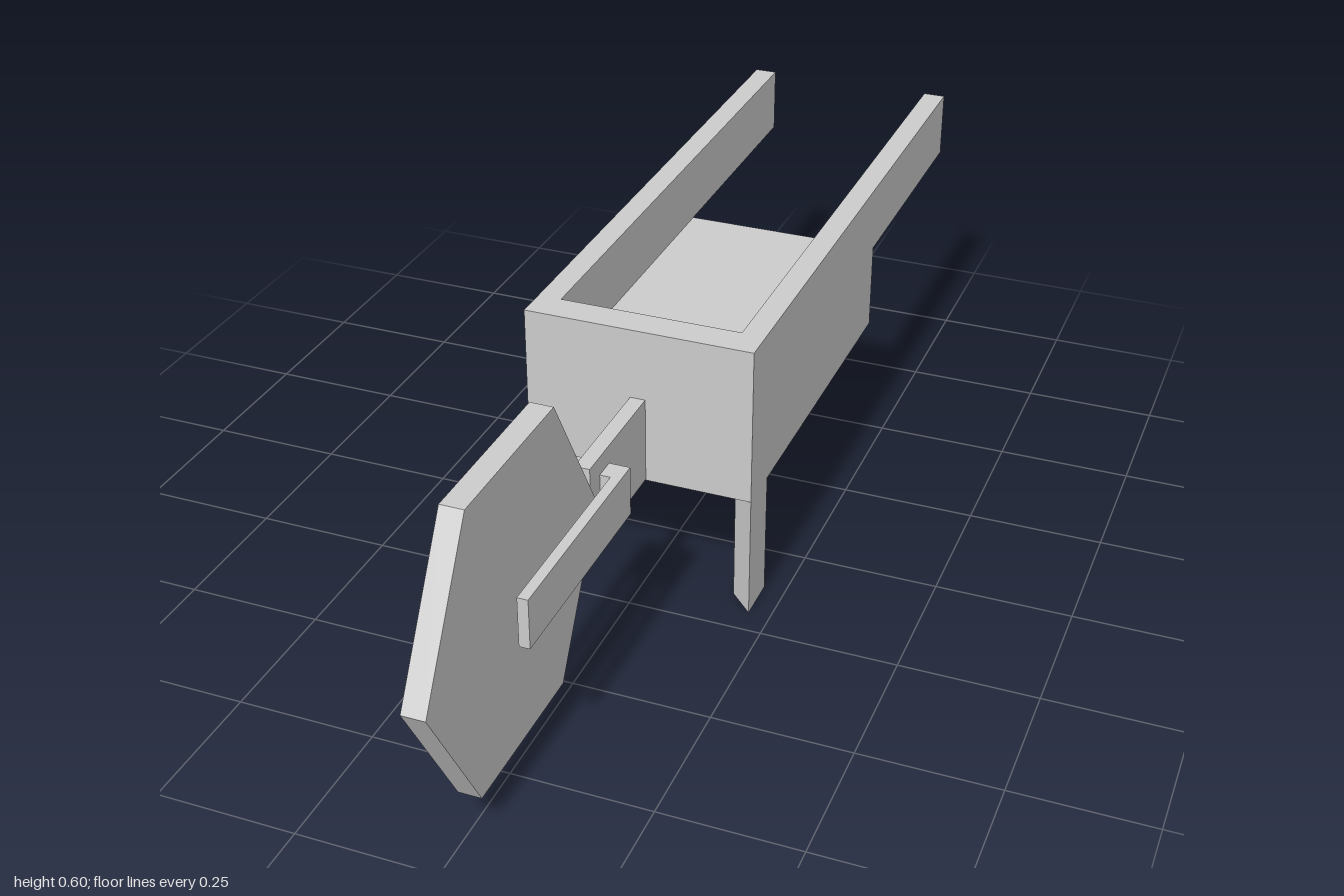
import * as THREE from 'three';

const material = new THREE.MeshStandardMaterial({ color: 0xcccccc, flatShading: true });

function addMesh(parent, name, geometry) {
  const mesh = new THREE.Mesh(geometry, material);
  mesh.name = name;
  parent.add(mesh);
  return mesh;
}

// Box given by its extents on each axis
function box([x0, x1], [y0, y1], [z0, z1]) {
  return new THREE.BoxGeometry(x1 - x0, y1 - y0, z1 - z0)
    .translate((x0 + x1) / 2, (y0 + y1) / 2, (z0 + z1) / 2);
}

// Plan outline of [x, z] points raised from y0 to y1
function prism(plan, y0, y1) {
  const shape = new THREE.Shape(plan.map(([x, z]) => new THREE.Vector2(x, -z)));
  return new THREE.ExtrudeGeometry(shape, { depth: y1 - y0, bevelEnabled: false })
    .rotateX(-Math.PI / 2)
    .translate(0, y0, 0);
}

// U-shaped plan: closed at zClosed, open at zOpen
function uPlan(outer, inner, zClosed, zInner, zOpen) {
  return [
    [-outer, zOpen], [-outer, zClosed], [outer, zClosed], [outer, zOpen],
    [inner, zOpen], [inner, zInner], [-inner, zInner], [-inner, zOpen],
  ];
}

export function createModel() {
  const barrow = new THREE.Group();
  barrow.name = 'wheelbarrow';

  // Solid tray base, with a rim whose sides run back into the handles
  addMesh(barrow, 'trayBase', box([-0.21, 0.21], [0.235, 0.402], [-0.503, 0.2]));
  addMesh(barrow, 'rimAndHandles', prism(uPlan(0.21, 0.167, 0.2, 0.14, -1), 0.402, 0.53));

  // Legs: slanted plan, mirrored left and right
  for (const side of [1, -1]) {
    const plan = [[0.21, 0.2], [0.21, 0.115], [0.165, 0.07], [0.165, 0.155]];
    addMesh(barrow, side > 0 ? 'leftLeg' : 'rightLeg',
      prism(plan.map(([x, z]) => [x * side, z]), 0, 0.235));
  }

  // Neck and fork holding the wheel
  addMesh(barrow, 'neck', box([-0.014, 0.014], [0.237, 0.398], [0.2, 0.44]));
  addMesh(barrow, 'fork', prism(uPlan(0.052, 0.033, 0.36, 0.4, 0.763), 0.272, 0.364));

  // Six-sided wheel standing on a corner
  const wheel = addMesh(barrow, 'wheel',
    new THREE.CylinderGeometry(0.306, 0.306, 0.041, 6).rotateZ(Math.PI / 2));
  wheel.position.set(0, 0.331, 0.735);

  return barrow;
}
